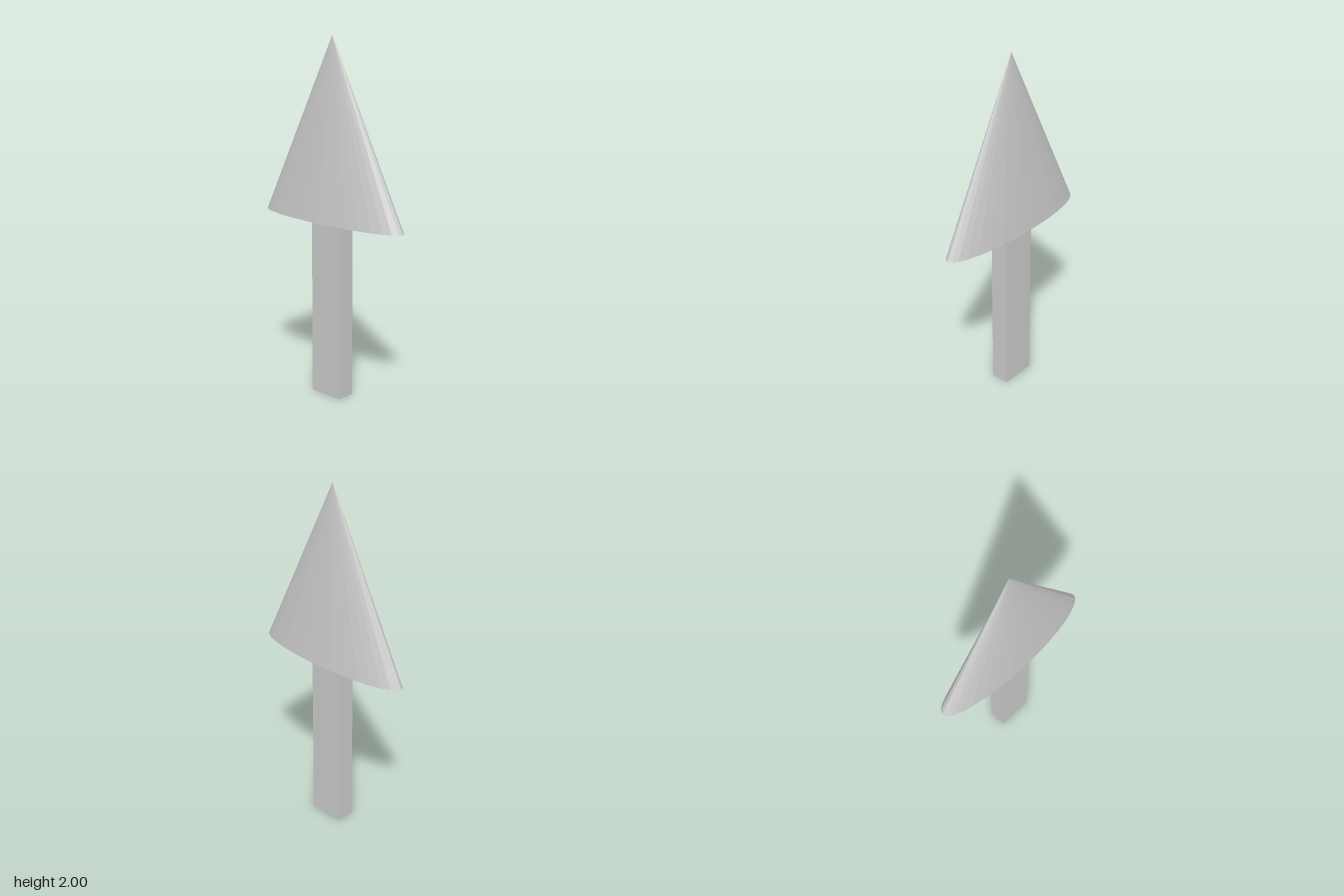
import * as THREE from 'three';

export function createModel() {
  const model = new THREE.Group();
  const material = new THREE.MeshStandardMaterial({ color: 0xcccccc, flatShading: true });

  const addPart = (name, geometry, y) => {
    const mesh = new THREE.Mesh(geometry, material);
    mesh.name = name;
    mesh.position.y = y;
    model.add(mesh);
  };

  // Rectangular post, wider along z
  addPart('shaft', new THREE.BoxGeometry(0.104, 1, 0.208), 0.5);

  // Cone flattened along x to an elliptical base
  addPart('head', new THREE.ConeGeometry(0.5, 1, 32).scale(0.224, 1, 1), 1.5);

  return model;
}
